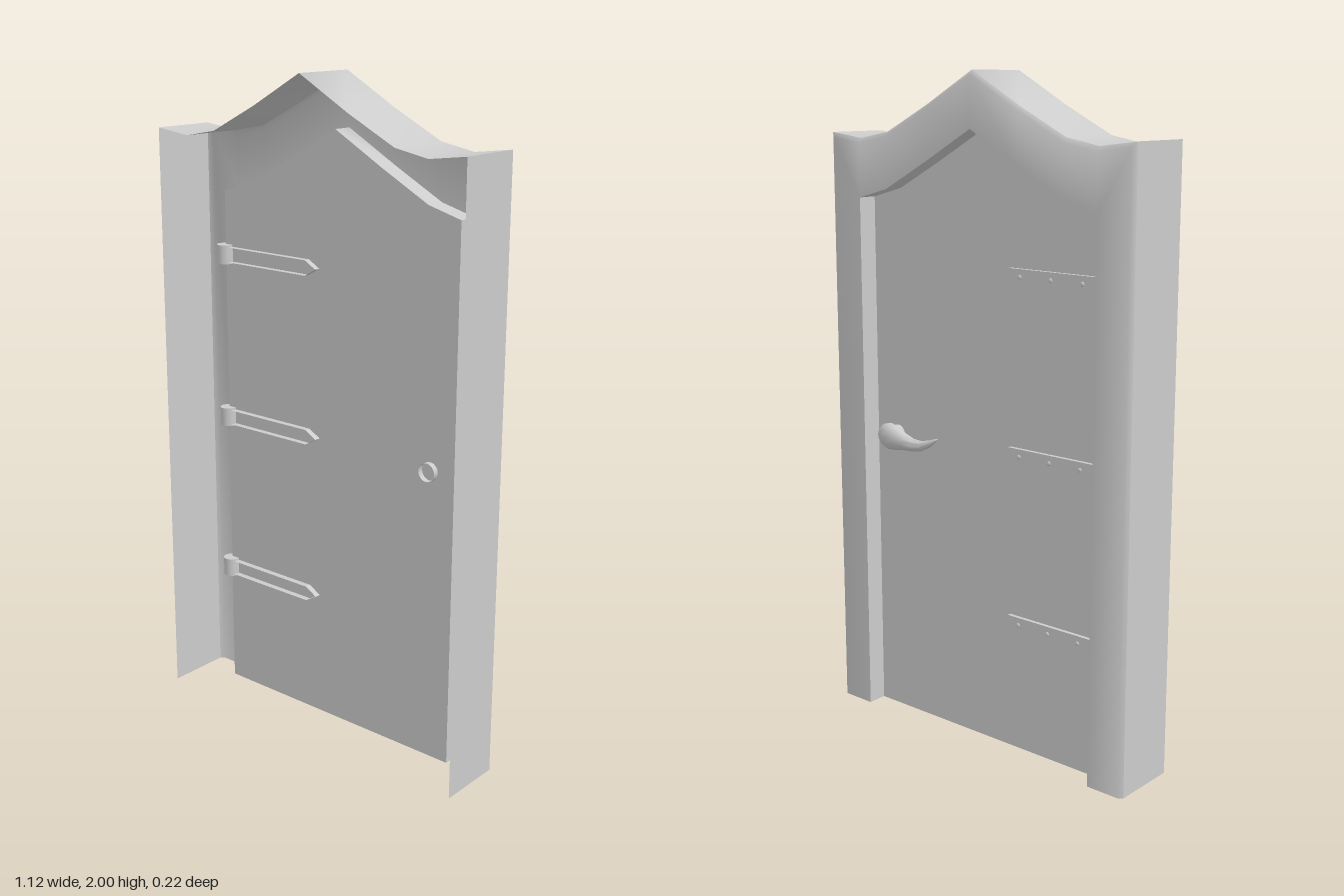
import * as THREE from 'three';
import { toCreasedNormals } from 'three/addons/utils/BufferGeometryUtils.js';

const material = new THREE.MeshStandardMaterial({ color: 0xcccccc, side: THREE.DoubleSide });
const DOOR_Z = -0.045;

// Skin consecutive cross-sections (lists of [x, y, z]) with quads.
function skin(rings, crease) {
  const n = rings[0].length;
  const index = [];
  for (let r = 0; r < rings.length - 1; r++) {
    for (let i = 0; i < n - 1; i++) {
      const a = r * n + i, b = a + 1, c = a + n, d = c + 1;
      index.push(a, b, c, b, d, c);
    }
  }
  const geo = new THREE.BufferGeometry();
  geo.setAttribute('position', new THREE.Float32BufferAttribute(rings.flat(2), 3));
  geo.setIndex(index);
  return toCreasedNormals(geo, crease);
}

function add(parent, name, geometry, x = 0, y = 0, z = 0) {
  const mesh = new THREE.Mesh(geometry, material);
  mesh.name = name;
  mesh.position.set(x, y, z);
  parent.add(mesh);
  return mesh;
}

// Complete a left half outline (ending at x = 0) with its mirror image.
const mirror = (half) => [...half, ...half.slice(0, -1).reverse().map(([x, y]) => [-x, y])];
const atZ = (outline, z) => outline.map(([x, y]) => [x, y, z]);

const outer = mirror([[-0.56, 0], [-0.56, 1.82], [-0.44, 1.805], [-0.33, 1.825], [-0.17, 1.905], [0, 2]]);
const inner = mirror([[-0.44, 0], [-0.44, 1.63], [-0.44, 1.63], [-0.33, 1.66], [-0.17, 1.745], [0, 1.84]]);

// Frame: outer wall, bevelled back trim and inner jamb; open at the front
function makeFrame() {
  const frame = new THREE.Group();
  frame.name = 'frame';
  const inset = outer.map(([x, y], i) => [x + (inner[i][0] - x) * 0.1, y + (inner[i][1] - y) * 0.08]);
  const crease = 1.15;
  add(frame, 'outerWall', skin([atZ(outer, 0.107), atZ(outer, -0.097)], crease));
  add(frame, 'trim', skin([atZ(outer, -0.097), atZ(inset, -0.107), atZ(inner, -0.107)], crease));
  add(frame, 'jamb', skin([atZ(inner, -0.107), atZ(inner, DOOR_Z)], crease));
  return frame;
}

// Hinge: knuckle on the door edge with a pointed, riveted strap
function makeHinge(y) {
  const hinge = new THREE.Group();
  hinge.name = 'hinge';
  hinge.position.y = y;
  add(hinge, 'knuckle', new THREE.CylinderGeometry(0.027, 0.027, 0.058, 12), -0.437, 0, -0.04);

  const h = 0.023;
  const outline = [[-0.44, -h], [-0.44, h], [-0.1, h], [-0.06, 0], [-0.1, -h], [-0.44, -h]];
  const centreLine = outline.map(([x]) => [Math.min(x, -0.1), 0]);
  add(hinge, 'strap', skin([atZ(outline, -0.026), atZ(outline, -0.057), atZ(centreLine, -0.057)], 0.5));

  for (const x of [-0.36, -0.25, -0.14]) {
    const rivet = add(hinge, 'rivet', new THREE.SphereGeometry(0.007, 8, 6), x, 0, -0.057);
    rivet.scale.z = 0.5;
  }
  return hinge;
}

// Handle: round neck through the door and a tapering, upturned lever
function makeHandle() {
  const handle = new THREE.Group();
  handle.name = 'handle';
  const neck = new THREE.CylinderGeometry(0.028, 0.028, 0.055, 16, 1, true);
  neck.rotateX(Math.PI / 2);
  add(handle, 'neck', neck, 0.355, 0.905, -0.055);

  // x, centre height, half height, half depth
  const stations = [
    [0.397, 0.905, 0, 0], [0.391, 0.905, 0.019, 0.012], [0.376, 0.905, 0.034, 0.021],
    [0.35, 0.904, 0.042, 0.026], [0.32, 0.901, 0.037, 0.024], [0.29, 0.896, 0.027, 0.02],
    [0.255, 0.891, 0.02, 0.016], [0.22, 0.893, 0.016, 0.013], [0.185, 0.906, 0.011, 0.01],
    [0.16, 0.92, 0.006, 0.006], [0.148, 0.926, 0, 0],
  ];
  const rings = stations.map(([x, y, ry, rz]) => Array.from({ length: 17 }, (_, i) => {
    const t = ((i % 16) / 16) * Math.PI * 2;
    return [x, y + ry * Math.cos(t), -0.086 - rz * Math.sin(t)];
  }));
  add(handle, 'lever', skin(rings, 1.8));
  return handle;
}

export function createModel() {
  const model = new THREE.Group();
  model.name = 'archedDoor';
  model.add(makeFrame());

  // Door leaf filling the jamb
  const leaf = new THREE.Shape(inner.filter((_, i) => i !== 2 && i !== inner.length - 3)
    .map(([x, y]) => new THREE.Vector2(x, y)));
  add(model, 'doorLeaf', new THREE.ShapeGeometry(leaf), 0, 0, DOOR_Z);

  for (const y of [0.4, 0.915, 1.435]) model.add(makeHinge(y));
  model.add(makeHandle());
  return model;
}
